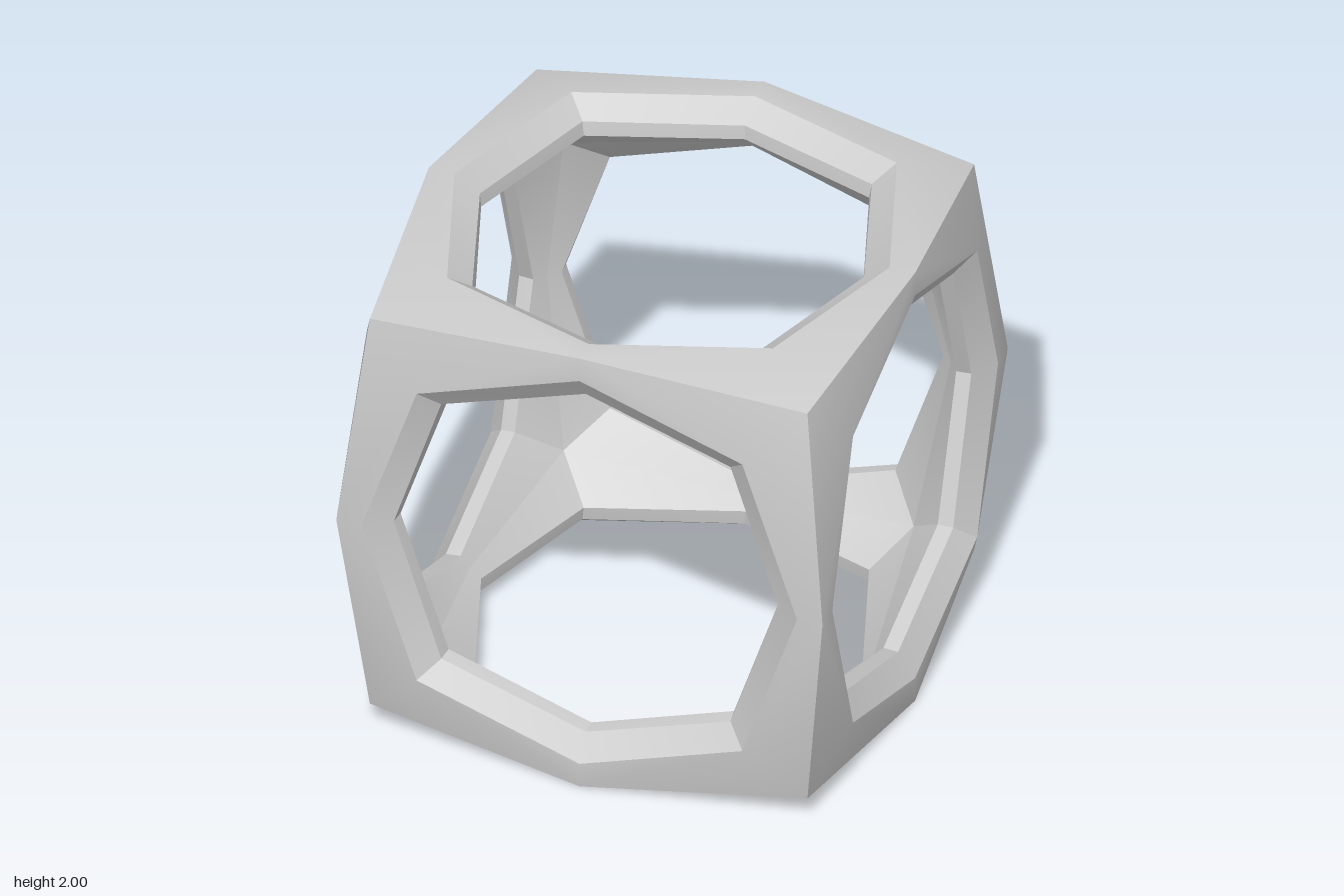
import * as THREE from 'three';
import { toCreasedNormals } from 'three/addons/utils/BufferGeometryUtils.js';

// Eight-sided loops of one side, from its outer border through the hole to the inside.
// Each: distance and height at the edge middles, then distance and height at the corners.
const LOOPS = [
  [1, 1, 0.9, 0.9],         // outer border
  [0.895, 1, 0.67, 1],      // rim of the opening
  [0.79, 0.93, 0.595, 0.93], // foot of the bevel
  [0.785, 0.87, 0.587, 0.87], // inner lip
  [0.83, 0.83, 0.72, 0.72], // inner border
];

function loopPoint([midR, midH, cornerR, cornerH], i) {
  const a = (i % 8) * Math.PI / 4;
  return i % 2 === 0
    ? [midR * Math.cos(a), midR * Math.sin(a), midH]
    : [cornerR * Math.SQRT2 * Math.cos(a), cornerR * Math.SQRT2 * Math.sin(a), cornerH];
}

function sideGeometry() {
  const positions = [];
  const tri = (...points) => points.forEach((p) => positions.push(...p));
  for (let k = 0; k < LOOPS.length - 1; k++) {
    const last = k === LOOPS.length - 2;
    for (let i = 0; i < 8; i++) {
      const a = loopPoint(LOOPS[k], i), b = loopPoint(LOOPS[k], i + 1);
      const c = loopPoint(LOOPS[k + 1], i + 1), d = loopPoint(LOOPS[k + 1], i);
      // Mirror the diagonals so that all eight segments match
      if ((i % 2 === 0) !== last) {
        tri(a, b, c);
        tri(a, c, d);
      } else {
        tri(a, b, d);
        tri(b, c, d);
      }
    }
  }
  const geometry = new THREE.BufferGeometry();
  geometry.setAttribute('position', new THREE.Float32BufferAttribute(positions, 3));
  return toCreasedNormals(geometry, 0.5);
}

export function createModel() {
  const group = new THREE.Group();
  group.name = 'openCubeFrame';
  const geometry = sideGeometry();
  const material = new THREE.MeshStandardMaterial({ color: 0xcccccc });

  // Six identical sides turned around the centre
  const q = Math.PI / 2;
  const sides = {
    frontFrame: [0, 0], leftFrame: [0, q], backFrame: [0, 2 * q],
    rightFrame: [0, -q], topFrame: [-q, 0], bottomFrame: [q, 0],
  };
  for (const [name, [rx, ry]] of Object.entries(sides)) {
    const side = new THREE.Mesh(geometry, material);
    side.name = name;
    side.rotation.set(rx, ry, 0);
    side.position.y = 1;
    group.add(side);
  }
  return group;
}
